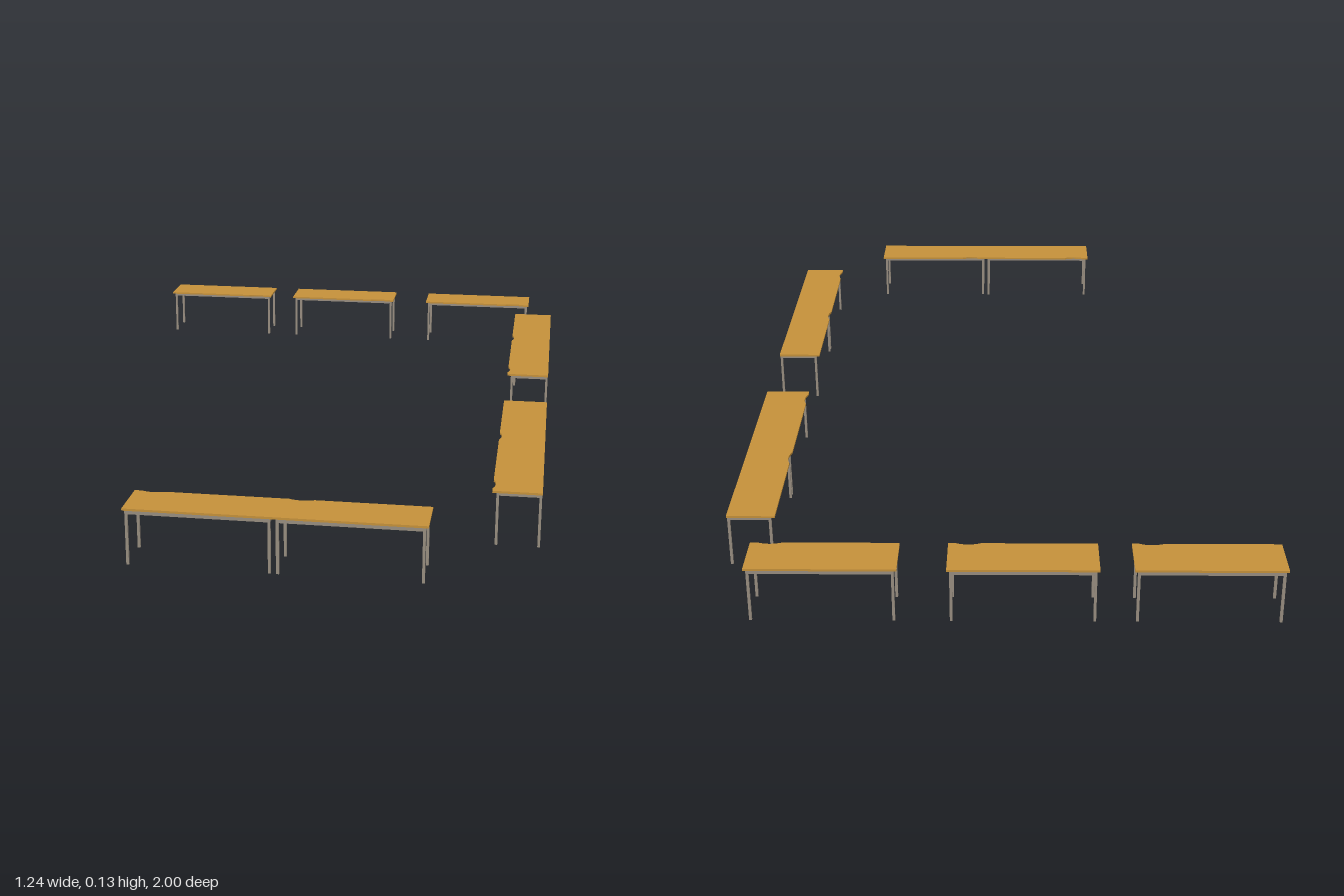
import * as THREE from 'three';

const wood = new THREE.MeshStandardMaterial({ color: 0xc4903a });
wood.name = 'wood';
const metal = new THREE.MeshStandardMaterial({ color: 0x978d7f });
metal.name = 'greyMetal';

const HALF_W = 0.164, HALF_D = 0.055, HEIGHT = 0.13, TOP = 0.005;
const LEG = 0.006, LEG_X = 0.155, LEG_BACK = -0.051, LEG_FRONT = 0.043;
const RAIL_H = 0.008;

// Table top outline with a shallow cutout on the user's edge (+z)
function topGeometry() {
  const s = new THREE.Shape();
  s.moveTo(-HALF_W, HALF_D);
  s.lineTo(-HALF_W, -HALF_D);
  s.lineTo(HALF_W, -HALF_D);
  s.lineTo(HALF_W, HALF_D);
  s.lineTo(0.148, HALF_D);
  s.quadraticCurveTo(0.12, HALF_D - 0.012, 0.092, HALF_D);
  s.closePath();
  const g = new THREE.ExtrudeGeometry(s, { depth: TOP, bevelEnabled: false, curveSegments: 8 });
  return g.rotateX(Math.PI / 2).translate(0, HEIGHT, 0);
}

function addBox(group, name, w, h, d, x, y, z) {
  const mesh = new THREE.Mesh(new THREE.BoxGeometry(w, h, d), metal);
  mesh.name = name;
  mesh.position.set(x, y, z);
  group.add(mesh);
}

function createTable() {
  const table = new THREE.Group();
  table.name = 'table';
  const top = new THREE.Mesh(topGeometry(), wood);
  top.name = 'tableTop';
  table.add(top);

  // Legs and the rails that join them under the top
  const under = HEIGHT - TOP, railY = under - RAIL_H / 2;
  const midZ = (LEG_BACK + LEG_FRONT) / 2, spanZ = LEG_FRONT - LEG_BACK;
  for (const x of [-LEG_X, LEG_X]) {
    for (const z of [LEG_BACK, LEG_FRONT]) addBox(table, 'leg', LEG, under, LEG, x, under / 2, z);
    addBox(table, 'sideRail', LEG, RAIL_H, spanZ - LEG, x, railY, midZ);
  }
  for (const z of [LEG_BACK, LEG_FRONT]) {
    addBox(table, 'longRail', 2 * LEG_X - LEG, RAIL_H, LEG, 0, railY, z);
  }
  return table;
}

export function createModel() {
  const model = new THREE.Group();
  model.name = 'tableArrangement';

  // Each row: name, turn about y, and table centres [x, z]
  const rows = [
    ['backRow', 0, [[-0.454, -0.945], [-0.052, -0.945], [0.382, -0.945]]],
    ['sideRow', -Math.PI / 2, [[0.563, -0.612], [0.563, -0.284], [0.563, 0.283], [0.563, 0.611]]],
    ['frontRow', Math.PI, [[-0.104, 0.945], [0.224, 0.945]]],
  ];
  for (const [name, turn, centres] of rows) {
    const row = new THREE.Group();
    row.name = name;
    for (const [x, z] of centres) {
      const table = createTable();
      table.position.set(x, 0, z);
      table.rotation.y = turn;
      row.add(table);
    }
    model.add(row);
  }
  return model;
}
